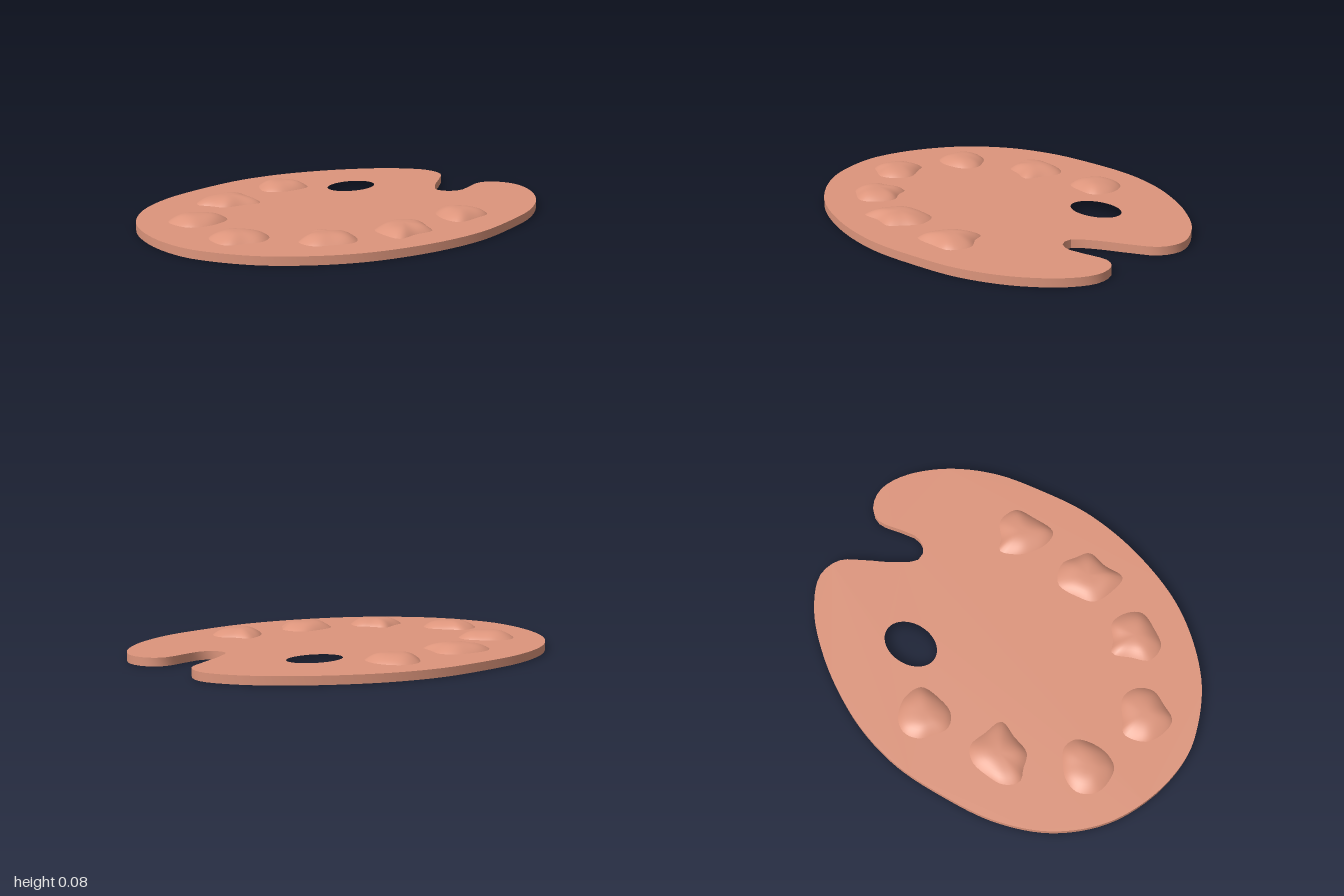
import * as THREE from 'three';
import { toCreasedNormals } from 'three/addons/utils/BufferGeometryUtils.js';

const THICK = 0.04;

// Smooth closed outline through [x, z] points, as shape points (shape y = -z)
function smoothLoop(points, count) {
  const curve = new THREE.CatmullRomCurve3(
    points.map(([x, z]) => new THREE.Vector3(x, -z, 0)), true, 'centripetal');
  return curve.getSpacedPoints(count).slice(0, count).map(p => new THREE.Vector2(p.x, p.y));
}

// Low dome with an irregular rim, made from shrinking rings
function daubGeometry(rim, seed) {
  const N = 40, RINGS = 10;
  const loop = smoothLoop(rim, N);
  const c = loop.reduce((s, p) => s.add(p), new THREE.Vector2()).divideScalar(N);
  const pos = [], index = [];
  for (let r = 0; r < RINGS; r++) {
    const t = Math.cos((r / RINGS) * Math.PI / 2);
    for (let i = 0; i < N; i++) {
      const x = c.x + (loop[i].x - c.x) * t, z = -(c.y + (loop[i].y - c.y) * t);
      const lump = 1 + 0.13 * Math.sin(x * 34 + seed * 2) * Math.cos(z * 30 + seed) * t;
      pos.push(x, THICK + 0.035 * (1 - t ** 3) * lump, z);
      if (r < RINGS - 1) {
        const a = r * N + i, b = r * N + (i + 1) % N;
        index.push(a, b, b + N, a, b + N, a + N);
      }
    }
  }
  pos.push(c.x, THICK + 0.035, -c.y);
  const last = (RINGS - 1) * N;
  for (let i = 0; i < N; i++) index.push(last + i, last + (i + 1) % N, RINGS * N);
  const g = new THREE.BufferGeometry();
  g.setAttribute('position', new THREE.Float32BufferAttribute(pos, 3));
  g.setIndex(index);
  g.computeVertexNormals();
  return g;
}

export function createModel() {
  const group = new THREE.Group();
  group.name = 'paintPalette';
  const clay = new THREE.MeshStandardMaterial({ name: 'terracotta', color: 0xdd957c });

  // Board with thumb notch and oval hole
  const outline = [
    [0.07, -0.79], [0.28, -0.755], [0.46, -0.69], [0.67, -0.575], [0.86, -0.415],
    [0.955, -0.25], [0.93, -0.135], [0.83, -0.06], [0.7, 0.02], [0.615, 0.1],
    [0.63, 0.158], [0.69, 0.19], [0.78, 0.175], [0.9, 0.15], [0.965, 0.185],
    [1, 0.285], [0.955, 0.415], [0.805, 0.575], [0.59, 0.695], [0.35, 0.755],
    [0.07, 0.788], [-0.26, 0.745], [-0.58, 0.62], [-0.85, 0.385], [-0.975, 0.14],
    [-1, 0], [-0.975, -0.21], [-0.875, -0.44], [-0.69, -0.625], [-0.45, -0.735], [-0.18, -0.78],
  ];
  const shape = new THREE.Shape(smoothLoop(outline, 160));
  const hole = new THREE.Path();
  hole.absellipse(0.38, 0.275, 0.138, 0.1, 0, Math.PI * 2, true);
  shape.holes.push(hole);
  const boardGeo = new THREE.ExtrudeGeometry(shape, { depth: THICK, bevelEnabled: false, curveSegments: 48 });
  boardGeo.rotateX(-Math.PI / 2);
  const board = new THREE.Mesh(toCreasedNormals(boardGeo, 0.6), clay);
  board.name = 'board';
  group.add(board);

  // Paint daubs around the rim, each [x, z] loop running anticlockwise from above
  const addDaub = (n, ...rim) => {
    const mesh = new THREE.Mesh(daubGeometry(rim.reverse(), n), clay);
    mesh.name = 'paintDaub' + n;
    group.add(mesh);
  };
  addDaub(1, [0.14, -0.645], [0.2, -0.61], [0.24, -0.515], [0.21, -0.42], [0.1, -0.415],
    [0.02, -0.44], [-0.015, -0.505], [0.02, -0.575], [0.07, -0.63]);
  addDaub(2, [-0.29, -0.585], [-0.2, -0.57], [-0.15, -0.515], [-0.17, -0.425], [-0.2, -0.335],
    [-0.29, -0.36], [-0.385, -0.39], [-0.415, -0.46], [-0.438, -0.52], [-0.385, -0.575]);
  addDaub(3, [-0.685, -0.405], [-0.61, -0.39], [-0.555, -0.34], [-0.51, -0.265], [-0.535, -0.2],
    [-0.66, -0.17], [-0.75, -0.205], [-0.77, -0.275], [-0.755, -0.355]);
  addDaub(4, [-0.7, 0.05 - 0.1], [-0.66, 0], [-0.595, 0.095], [-0.62, 0.17], [-0.695, 0.208],
    [-0.77, 0.18], [-0.845, 0.14], [-0.85, 0.07], [-0.805, -0.02]);
  addDaub(5, [-0.43, 0.25], [-0.395, 0.31], [-0.342, 0.375], [-0.365, 0.455], [-0.43, 0.505],
    [-0.525, 0.47], [-0.6, 0.415], [-0.595, 0.325], [-0.515, 0.285]);
  addDaub(6, [-0.13, 0.393], [-0.015, 0.393], [0.032, 0.49], [-0.005, 0.56], [-0.045, 0.617],
    [-0.145, 0.605], [-0.25, 0.605], [-0.25, 0.52], [-0.21, 0.42]);
  addDaub(7, [0.32, 0.37], [0.355, 0.43], [0.412, 0.5], [0.385, 0.595], [0.29, 0.612],
    [0.165, 0.605], [0.155, 0.535], [0.205, 0.435], [0.26, 0.39]);
  return group;
}
